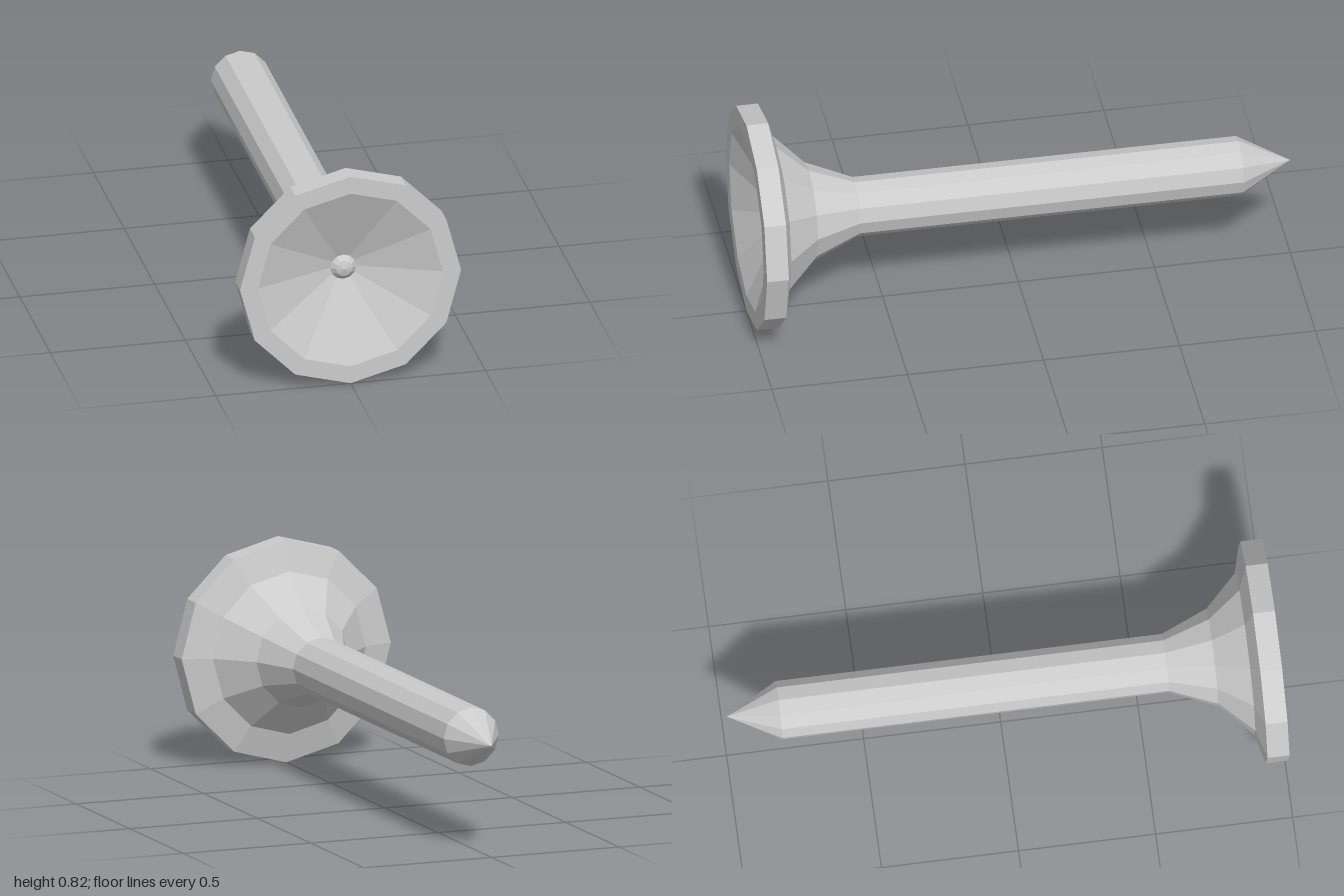
import * as THREE from 'three';

const SIDES = 12;
const AXIS_HEIGHT = 0.41;

// Turns a profile of [radius, z] points, ordered back to front, about the z axis.
function turned(name, profile, material) {
  const geometry = new THREE.LatheGeometry(
    profile.map(([r, z]) => new THREE.Vector2(r, z)), SIDES);
  geometry.rotateX(Math.PI / 2);
  const mesh = new THREE.Mesh(geometry, material);
  mesh.name = name;
  mesh.position.y = AXIS_HEIGHT;
  return mesh;
}

export function createModel() {
  const group = new THREE.Group();
  group.name = 'nail';
  const material = new THREE.MeshStandardMaterial({ color: 0xcccccc, flatShading: true });

  // Pointed shaft
  group.add(turned('shaft', [[0, -1], [0.108, -0.81], [0.108, 0.6]], material));

  // Flared neck widening into the head
  group.add(turned('neck', [[0.108, 0.6], [0.18, 0.77], [0.3, 0.89], [0.41, 0.92]], material));

  // Head rim with a shallow conical recess in the front
  group.add(turned('head', [[0.41, 0.92], [0.41, 1], [0.343, 1], [0, 0.86]], material));

  // Small faceted bead in the middle of the recess
  group.add(turned('centreBead', [[0.04, 0.865], [0.048, 0.88], [0.03, 0.897], [0, 0.905]], material));

  return group;
}
